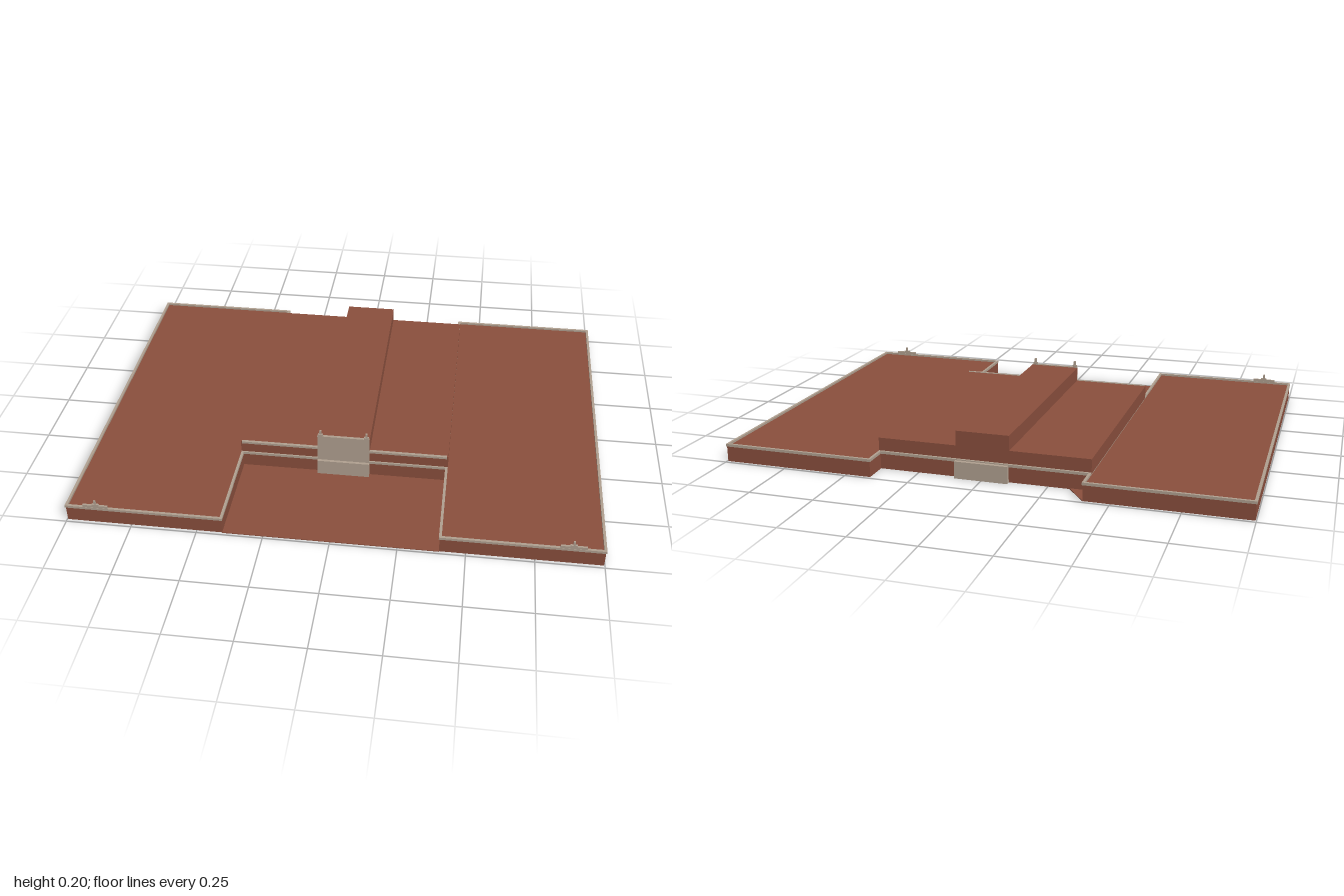
import * as THREE from 'three';

const brick = new THREE.MeshStandardMaterial({ color: 0x8a4f3d, flatShading: true });
const stone = new THREE.MeshStandardMaterial({ color: 0xb0a090, flatShading: true });

export function createModel() {
  const model = new THREE.Group();

  // Box given by its limits on each axis
  const block = (name, mat, [x0, x1], [y0, y1], [z0, z1], parent = model) => {
    const mesh = new THREE.Mesh(new THREE.BoxGeometry(x1 - x0, y1 - y0, z1 - z0), mat);
    mesh.position.set((x0 + x1) / 2, (y0 + y1) / 2, (z0 + z1) / 2);
    mesh.name = name;
    parent.add(mesh);
    return mesh;
  };

  // Rectangular coping: an outline with a hole, extruded upward
  const coping = (name, [x0, x1], [y0, y1], [z0, z1], w, parent) => {
    const rect = (P, d) => new P([
      new THREE.Vector2(x0 + d, -z1 + d), new THREE.Vector2(x1 - d, -z1 + d),
      new THREE.Vector2(x1 - d, -z0 - d), new THREE.Vector2(x0 + d, -z0 - d),
    ]);
    const shape = rect(THREE.Shape, 0);
    shape.holes.push(rect(THREE.Path, w));
    const geo = new THREE.ExtrudeGeometry(shape, { depth: y1 - y0, bevelEnabled: false });
    geo.rotateX(-Math.PI / 2);
    const mesh = new THREE.Mesh(geo, stone);
    mesh.position.y = y0;
    mesh.name = name;
    parent.add(mesh);
  };

  // Side wings with coping and a small crest on the front edge
  for (const s of [-1, 1]) {
    const wing = new THREE.Group();
    wing.name = s > 0 ? 'leftWing' : 'rightWing';
    const span = (a, b) => (s > 0 ? [a, b] : [-b, -a]);
    block('wingBody', brick, span(0.403, 0.997), [0, 0.062], [-0.737, 0.737], wing);
    coping('wingCoping', span(0.4, 1), [0.06, 0.07], [-0.74, 0.74], 0.01, wing);
    block('crestBase', stone, span(0.835, 0.93), [0.07, 0.08], [0.731, 0.739], wing);
    block('crestBlock', stone, span(0.868, 0.894), [0.08, 0.085], [0.731, 0.739], wing);
    block('crestFinial', stone, span(0.878, 0.886), [0.085, 0.102], [0.732, 0.738], wing);
    model.add(wing);
  }

  // Central hall: lower storey, string course, raised storey and middle ridge
  block('hallBase', brick, [-0.405, 0.405], [0, 0.065], [-0.64, 0.338]);
  block('hallStringCourse', stone, [-0.404, 0.404], [0.06, 0.07], [-0.645, 0.343]);
  block('hallUpper', brick, [-0.41, 0.41], [0.065, 0.12], [-0.636, 0.337]);
  block('hallFrontCoping', stone, [-0.405, 0.405], [0.113, 0.122], [0.332, 0.343]);
  block('hallRidge', brick, [-0.103, 0.103], [0.12, 0.177], [-0.636, 0.337]);

  // Front and back portals
  block('frontPortalLower', stone, [-0.102, 0.102], [0, 0.066], [0.33, 0.357]);
  block('frontPortalUpper', stone, [-0.102, 0.102], [0.066, 0.18], [0.335, 0.346]);
  block('backPortal', stone, [-0.102, 0.102], [0, 0.066], [-0.66, -0.63]);
  for (const x of [-0.09, 0.09]) {
    block('portalFinialBase', stone, [x - 0.009, x + 0.009], [0.178, 0.188], [0.336, 0.346]);
    block('portalFinial', stone, [x - 0.004, x + 0.004], [0.188, 0.205], [0.337, 0.345]);
  }

  // Forecourt paving
  block('forecourt', brick, [-0.403, 0.403], [0, 0.003], [0.33, 0.74]);

  // Three-cornered paving in the rear recess
  const corner = new THREE.Shape([
    new THREE.Vector2(-0.403, 0.64), new THREE.Vector2(-0.33, 0.64), new THREE.Vector2(-0.403, 0.74),
  ]);
  const paving = new THREE.Mesh(
    new THREE.ExtrudeGeometry(corner, { depth: 0.003, bevelEnabled: false }).rotateX(-Math.PI / 2), brick);
  paving.name = 'rearPaving';
  model.add(paving);

  return model;
}
